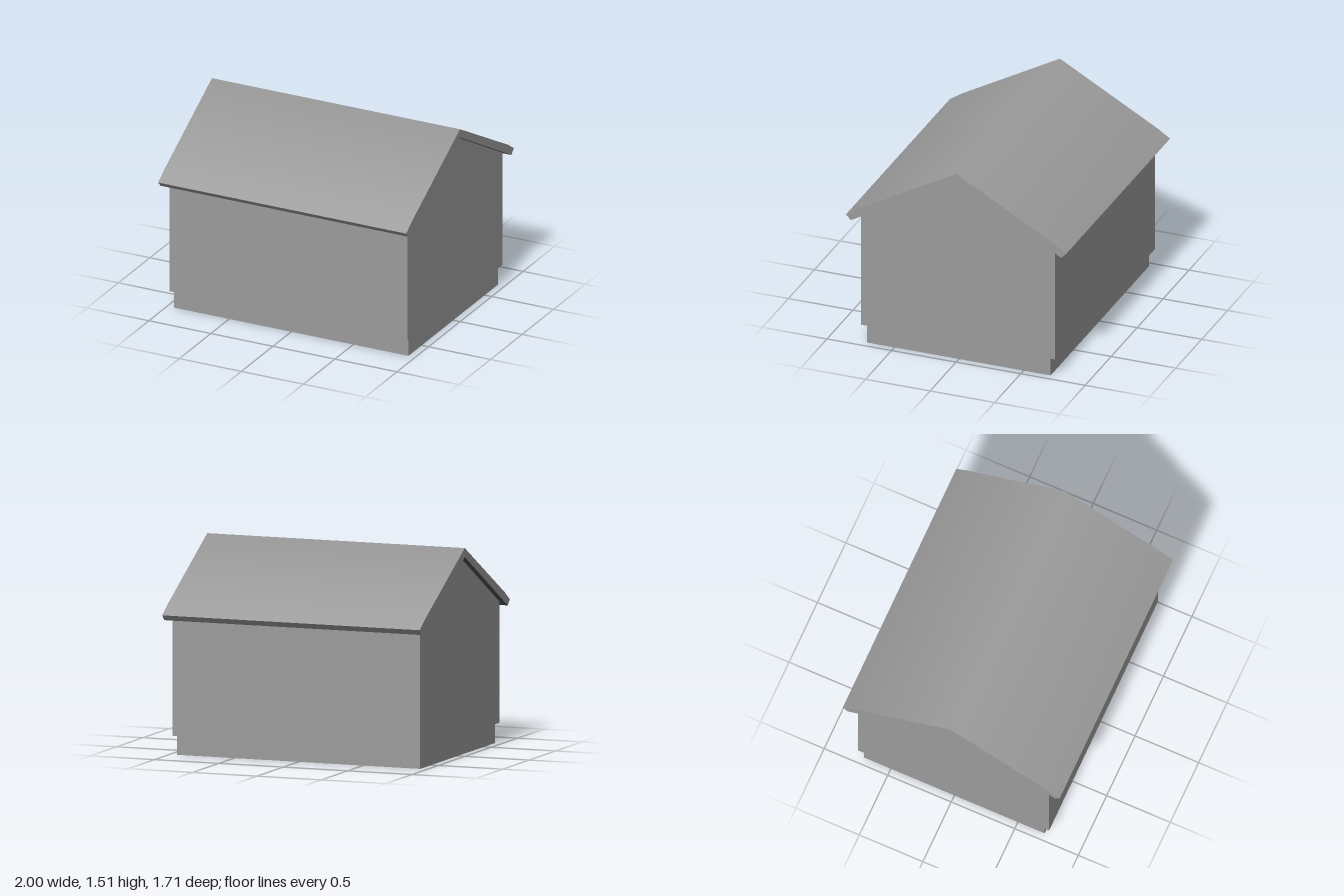
import * as THREE from 'three';
import { toCreasedNormals } from 'three/addons/utils/BufferGeometryUtils.js';

// Extrudes a symmetric end profile, given as [z, y] points, along x.
function extrudeAlongX(points, length) {
  const shape = new THREE.Shape(points.map(([z, y]) => new THREE.Vector2(z, y)));
  const geometry = new THREE.ExtrudeGeometry(shape, { depth: length, bevelEnabled: false });
  geometry.translate(0, 0, -length / 2);
  geometry.rotateY(Math.PI / 2);
  return geometry;
}

// Mirrors half a profile (front side, z > 0) across z = 0.
const mirror = (points) => points.map(([z, y]) => [-z, y]).reverse();

// Gives downward faces the second material and all others the first.
function groupUndersides(geometry) {
  const { normal } = geometry.attributes;
  geometry.clearGroups();
  for (let i = 0; i < normal.count; i += 3) {
    geometry.addGroup(i, 3, normal.getY(i) < -0.8 ? 1 : 0);
  }
  return geometry;
}

export function createModel() {
  const house = new THREE.Group();
  house.name = 'house';
  const grey = new THREE.MeshStandardMaterial({ color: 0x9b9b9c });
  grey.name = 'plain grey';
  const dark = new THREE.MeshStandardMaterial({ color: 0x555555 });
  dark.name = 'dark underside grey';

  const add = (name, geometry, material) => {
    const mesh = new THREE.Mesh(geometry, material);
    mesh.name = name;
    house.add(mesh);
  };

  // Foundation plinth
  const plinth = new THREE.BoxGeometry(1.89, 0.142, 1.42);
  plinth.translate(0, 0.071, 0);
  add('foundation', plinth, grey);

  // Walls with gable ends and a dark ledge underneath
  const wallHalf = [[0.752, 0.142], [0.752, 1.023]];
  const walls = extrudeAlongX([...wallHalf, [0, 1.447], ...mirror(wallHalf)], 1.92);
  add('walls', groupUndersides(toCreasedNormals(walls, Math.PI / 6)), [grey, dark]);

  // Roof slab with flared eaves, shaded smoothly over the ridge, dark below
  const outer = [[0.853, 1.028], [0.76, 1.09]];
  const inner = [[0.815, 0.988]];
  const profile = [...inner, ...outer, [0, 1.512], ...mirror(outer), ...mirror(inner), [0, 1.447]];
  const roof = toCreasedNormals(extrudeAlongX(profile, 2), Math.PI * 0.36);
  const { position, normal } = roof.attributes;
  for (let i = 0; i < position.count; i++) {
    // Ridge normals point straight up above and straight down below
    if (Math.abs(position.getZ(i)) < 1e-4 && Math.abs(normal.getX(i)) < 0.5) {
      normal.setXYZ(i, 0, Math.sign(normal.getY(i)), 0);
    }
  }
  add('roof', groupUndersides(roof), [grey, dark]);

  return house;
}
